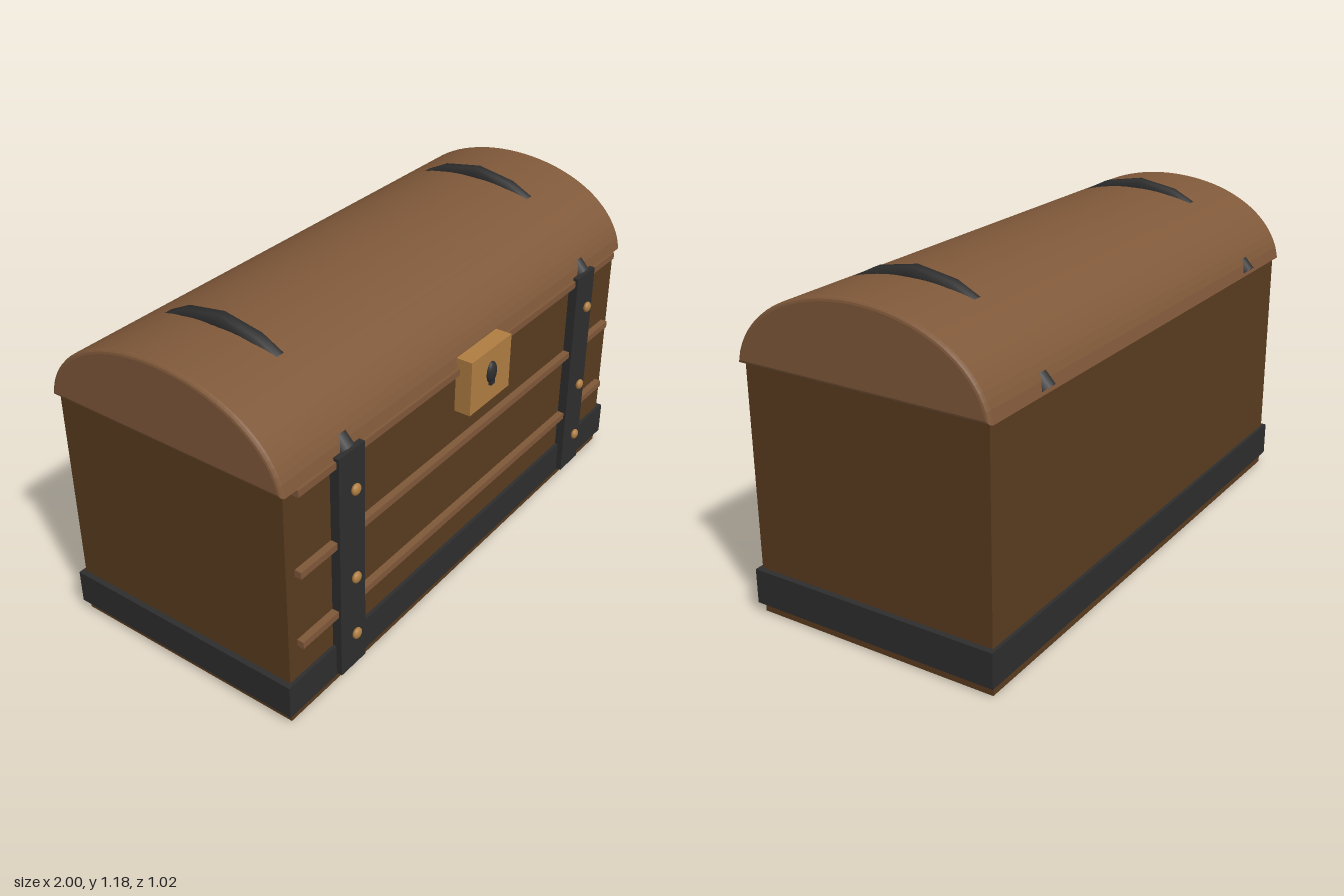
import * as THREE from 'three';

const ZC = -0.024; // depth centre of the body and lid

const mat = (name, color) => {
  const m = new THREE.MeshStandardMaterial({ color });
  m.name = name;
  return m;
};

export function createModel() {
  const root = new THREE.Group();
  root.name = 'treasureChest';

  const darkWood = mat('darkWood', 0x5a3c20);
  const lightWood = mat('lightWood', 0x80593a);
  const iron = mat('iron', 0x2e2e2e);
  iron.side = THREE.DoubleSide; // the lid hoops are open tubes
  const brass = mat('brass', 0xb07e42);

  const add = (name, geometry, material, x = 0, y = 0, z = 0) => {
    const mesh = new THREE.Mesh(geometry, material);
    mesh.name = name;
    mesh.position.set(x, y, z);
    root.add(mesh);
    return mesh;
  };
  // box given by its lower and upper corners
  const box = (name, material, [x0, y0, z0], [x1, y1, z1]) =>
    add(name, new THREE.BoxGeometry(x1 - x0, y1 - y0, z1 - z0), material,
      (x0 + x1) / 2, (y0 + y1) / 2, (z0 + z1) / 2);

  // body and the iron band around its foot
  box('body', darkWood, [-0.98, 0, -0.474], [0.98, 0.876, 0.425]);
  box('baseBand', iron, [-1, 0.037, -0.486], [1, 0.16, 0.438]);

  // slats across the front
  for (const y of [0.297, 0.567, 0.862])
    box('slat', lightWood, [-0.94, y - 0.0125, 0.42], [0.94, y + 0.0125, 0.45]);

  // domed lid with a small bevel, extruded along x
  const bevel = 0.014;
  const dome = new THREE.Shape();
  dome.moveTo(-0.45, 0);
  dome.lineTo(0.45, 0);
  dome.bezierCurveTo(0.37, 0.338, -0.37, 0.338, -0.45, 0);
  const lid = new THREE.ExtrudeGeometry(dome, {
    depth: 2 - 2 * bevel, curveSegments: 40,
    bevelEnabled: true, bevelThickness: bevel, bevelSize: bevel, bevelSegments: 3,
  });
  lid.translate(0, 0, -(1 - bevel));
  lid.rotateY(Math.PI / 2);
  add('lid', lid, lightWood, 0, 0.883, ZC);

  for (const x of [-0.705, 0.705]) {
    // iron hoop over the lid
    const path = new THREE.QuadraticBezierCurve3(
      new THREE.Vector3(0, 0.88, 0.46),
      new THREE.Vector3(0, 1.425, 0),
      new THREE.Vector3(0, 0.88, -0.46));
    add('lidHoop', new THREE.TubeGeometry(path, 8, 0.032, 6), iron, x, 0, ZC);

    // iron strap down the front with brass studs
    box('frontStrap', iron, [x - 0.0625, 0.047, 0.424], [x + 0.0625, 0.885, 0.459]);
    for (const y of [0.19, 0.418, 0.752])
      add('stud', new THREE.SphereGeometry(0.02, 14, 10), brass, x, y, 0.474)
        .scale.z = 0.6;
  }

  // lock plate and keyhole
  box('lockPlate', brass, [-0.12, 0.71, 0.435], [0.12, 0.91, 0.495]);
  add('keyhole', new THREE.SphereGeometry(0.03, 18, 12), iron, 0, 0.823, 0.495)
    .scale.set(0.9, 1.3, 0.55);
  box('keyholeSlot', iron, [-0.011, 0.777, 0.49], [0.011, 0.83, 0.505]);

  return root;
}
